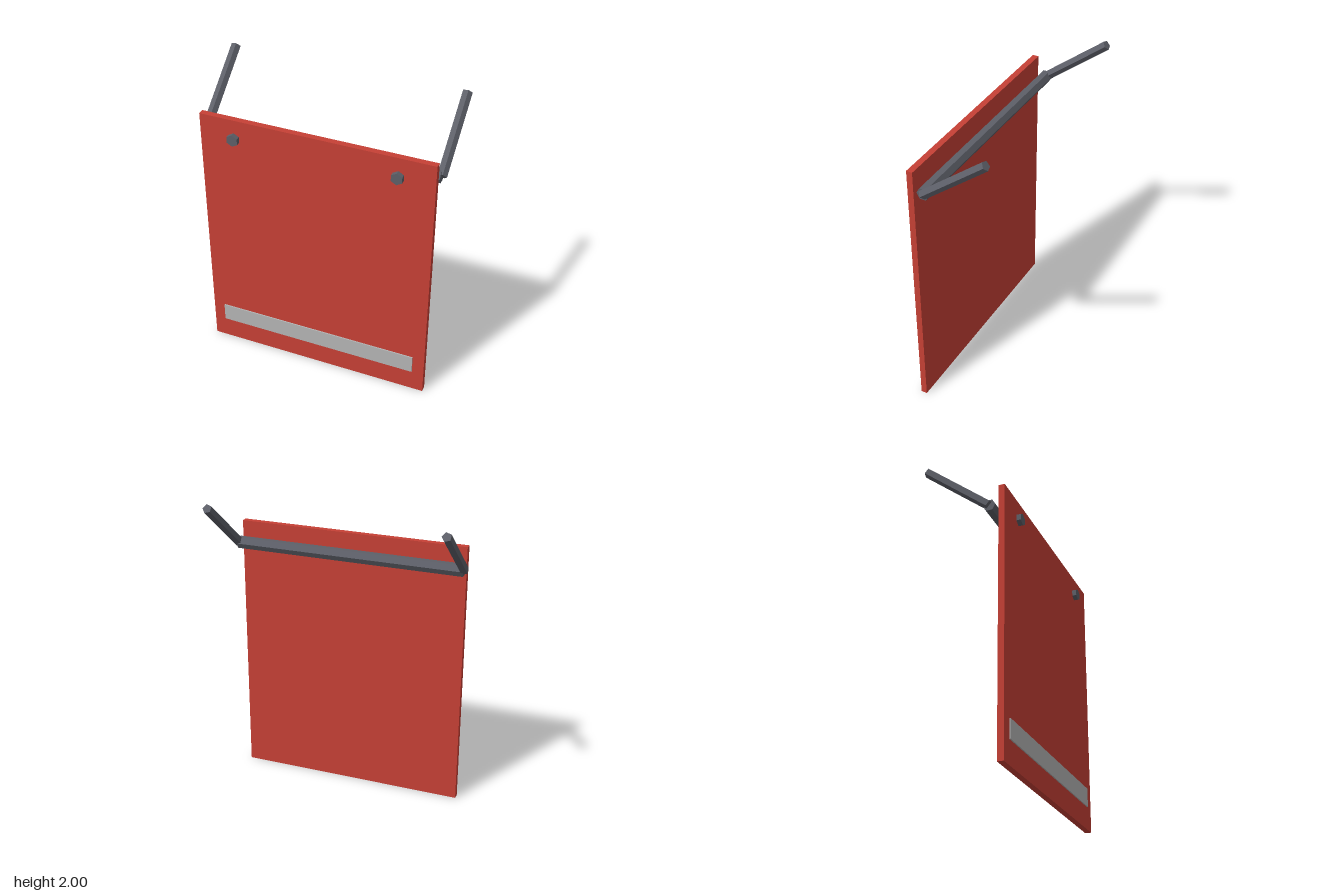
import * as THREE from 'three';

function material(name, color) {
  const m = new THREE.MeshStandardMaterial({ color, flatShading: true });
  m.name = name;
  return m;
}

export function createModel() {
  const model = new THREE.Group();
  model.name = 'hangingPanel';
  const red = material('red', 0xc64035);
  const steel = material('dark steel', 0x5d5f68);
  const grey = material('light grey', 0xb4b4b4);

  function add(name, geometry, mat, x, y, z) {
    const mesh = new THREE.Mesh(geometry, mat);
    mesh.name = name;
    mesh.position.set(x, y, z);
    model.add(mesh);
    return mesh;
  }

  const left = 0.753, right = -0.759;
  const width = left - right, midX = (left + right) / 2;
  const pivotY = 1.64, pivotZ = 0.155;

  // Flat panel with a pale strip near its foot
  add('panel', new THREE.BoxGeometry(width, 1.768, 0.04), red, midX, 0.884, 0.237);
  add('strip', new THREE.BoxGeometry(1.355, 0.123, 0.009), grey, midX, 0.213, 0.2605);

  // Hexagonal bolt heads, corners up
  for (const [name, x] of [['rightBolt', -0.533], ['leftBolt', 0.523]]) {
    const bolt = new THREE.CylinderGeometry(0.04, 0.04, 0.03, 6).rotateX(Math.PI / 2);
    add(name, bolt, steel, x, pivotY, 0.271);
  }

  // Hexagonal crossbar behind the panel
  const bar = new THREE.CylinderGeometry(0.041, 0.041, width, 6).rotateZ(Math.PI / 2);
  add('crossbar', bar, steel, midX, pivotY, pivotZ);

  // Five-sided arms sloping up and back from the ends of the crossbar
  const rise = 0.337, back = 0.418;
  for (const [name, x] of [['rightArm', right], ['leftArm', left]]) {
    const arm = new THREE.CylinderGeometry(0.031, 0.031, Math.hypot(rise, back), 5)
      .rotateY(Math.PI / 2)
      .rotateX(-Math.atan2(back, rise));
    add(name, arm, steel, x, pivotY + rise / 2, pivotZ - back / 2);
  }
  return model;
}
